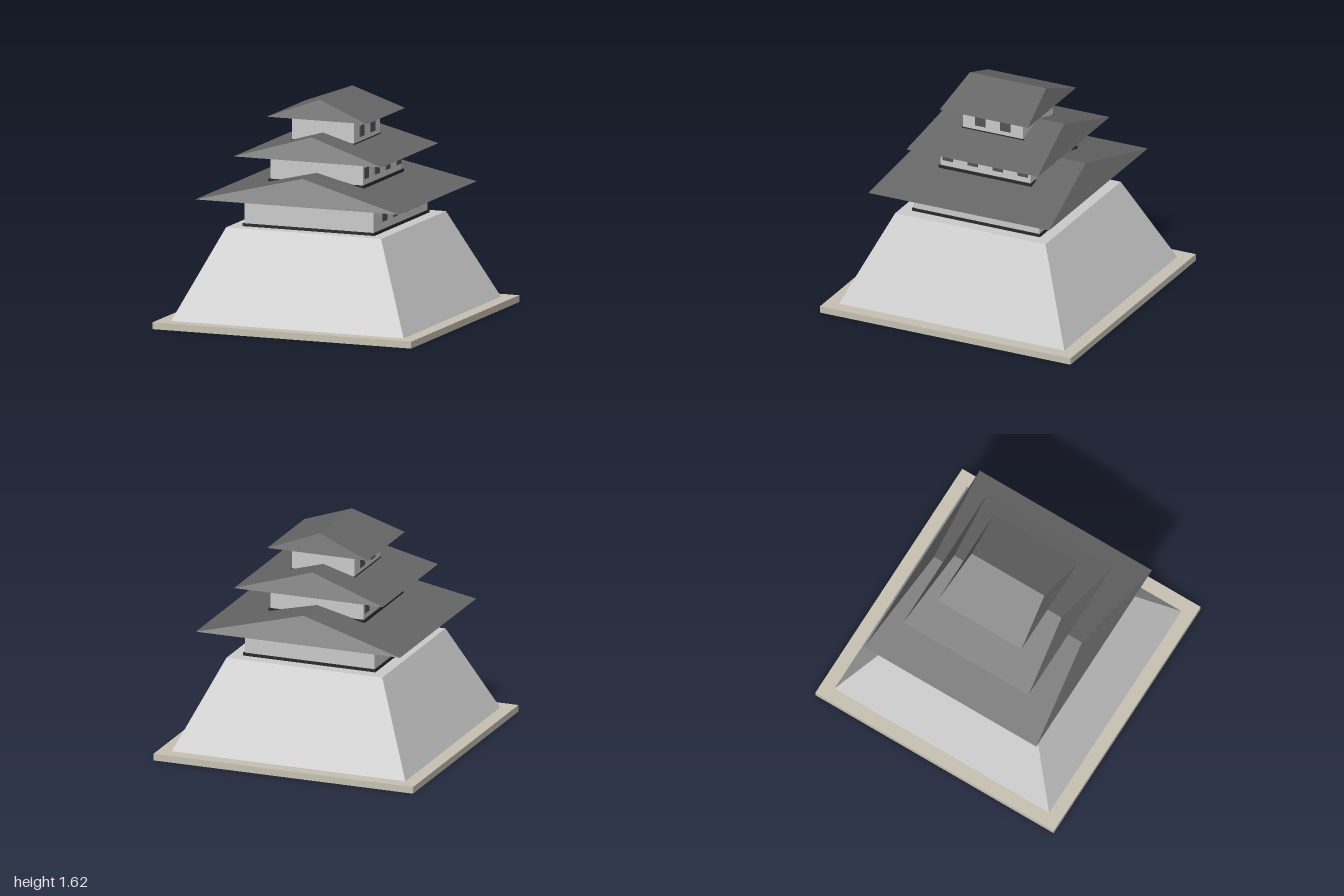
import * as THREE from 'three';

const paint = (color) => new THREE.MeshStandardMaterial({ color, flatShading: true });
const MAT = {
  stone: paint(0xcccccc),
  ground: paint(0xc8c2b4),
  roof: paint(0x666666),
  trim: paint(0x2a2a2a),
  window: paint(0x555555),
};

function box(name, mat, w, h, d, x, y, z) {
  const mesh = new THREE.Mesh(new THREE.BoxGeometry(w, h, d), mat);
  mesh.name = name;
  mesh.position.set(x, y, z);
  return mesh;
}

// Square box whose top is pulled in to (topX, topZ) half sizes; topX = 0 makes a ridge
function taperedBox(name, mat, halfX, halfZ, topX, topZ, y0, y1) {
  const geo = new THREE.BoxGeometry(2 * halfX, y1 - y0, 2 * halfZ);
  const pos = geo.attributes.position;
  for (let i = 0; i < pos.count; i++) {
    if (pos.getY(i) > 0) {
      pos.setX(i, Math.sign(pos.getX(i)) * topX);
      pos.setZ(i, Math.sign(pos.getZ(i)) * topZ);
    }
  }
  geo.computeVertexNormals();
  const mesh = new THREE.Mesh(geo, mat);
  mesh.name = name;
  mesh.position.y = (y0 + y1) / 2;
  return mesh;
}

// One storey: walls, dark sill band, windows on both sides, ridged roof
function createTier(name, t) {
  const tier = new THREE.Group();
  tier.name = name;
  const wallH = t.eave - t.floor;
  tier.add(box('walls', MAT.stone, 2 * t.half, wallH, 2 * t.half, 0, t.floor + wallH / 2, 0));
  const band = 2 * (t.half + t.bandOut);
  tier.add(box('sillBand', MAT.trim, band, t.bandH, band, 0, t.floor + t.bandH / 2, 0));
  for (const side of [-1, 1]) {
    for (const z of t.windows) {
      tier.add(box('window', MAT.window, 0.01, 0.08, 0.08, side * (t.half + 0.002), t.windowY, z));
    }
  }
  tier.add(taperedBox('roof', MAT.roof, t.roofX, t.roofZ, 0, t.ridgeZ, t.eave, t.ridge));
  return tier;
}

export function createModel() {
  const model = new THREE.Group();
  model.name = 'castleTower';

  // Ground slab and sloping stone base
  model.add(box('groundSlab', MAT.ground, 2, 0.05, 2, 0, 0.025, 0));
  model.add(taperedBox('stoneBase', MAT.stone, 0.9, 0.9, 0.6, 0.6, 0.05, 0.7));

  // Storeys from bottom to top
  const four = [-0.3, -0.1, 0.1, 0.3];
  const two = [-0.1, 0.1];
  model.add(createTier('lowerTier', {
    half: 0.5, floor: 0.7, bandOut: 0.01, bandH: 0.02, windows: four, windowY: 0.815,
    eave: 0.91, ridge: 1.097, roofX: 0.787, roofZ: 0.722, ridgeZ: 0.62,
  }));
  model.add(createTier('middleTier', {
    half: 0.358, floor: 1.01, bandOut: 0.012, bandH: 0.02, windows: four, windowY: 1.113,
    eave: 1.204, ridge: 1.37, roofX: 0.573, roofZ: 0.525, ridgeZ: 0.45,
  }));
  model.add(createTier('upperTier', {
    half: 0.24, floor: 1.29, bandOut: 0.006, bandH: 0.015, windows: two, windowY: 1.378,
    eave: 1.476, ridge: 1.62, roofX: 0.387, roofZ: 0.352, ridgeZ: 0.305,
  }));
  return model;
}
